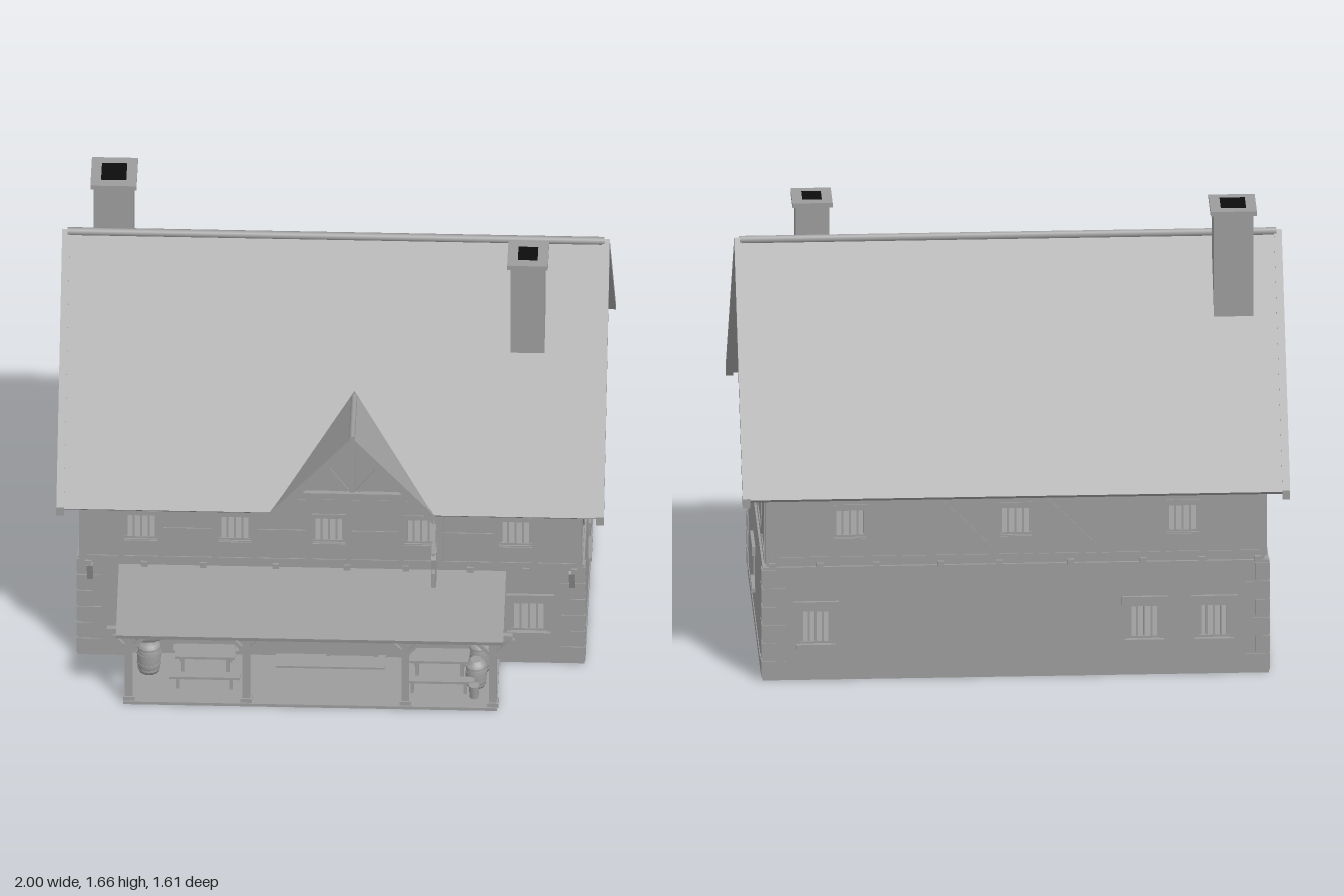
import * as THREE from 'three';

const stone = new THREE.MeshStandardMaterial({ color: 0x9c9c9c });
stone.name = 'plain grey';
const soot = new THREE.MeshStandardMaterial({ color: 0x0c0c0c });
soot.name = 'soot black';

function add(parent, name, geo, x = 0, y = 0, z = 0, mat = stone) {
  const m = new THREE.Mesh(geo, mat);
  m.name = name;
  m.position.set(x, y, z);
  parent.add(m);
  return m;
}
// box given by its limits on each axis
function block(parent, name, x0, x1, y0, y1, z0, z1, mat) {
  return add(parent, name, new THREE.BoxGeometry(x1 - x0, y1 - y0, z1 - z0),
    (x0 + x1) / 2, (y0 + y1) / 2, (z0 + z1) / 2, mat);
}
// square timber between two points
function bar(parent, name, a, b, w = 0.02, d = w) {
  const p = new THREE.Vector3(...a), q = new THREE.Vector3(...b);
  const m = add(parent, name, new THREE.BoxGeometry(w, d, p.distanceTo(q)));
  m.position.copy(p).add(q).multiplyScalar(0.5);
  m.quaternion.setFromRotationMatrix(new THREE.Matrix4().lookAt(q, p, new THREE.Vector3(0, 0, 1)));
  return m;
}
const poly = pts => new THREE.Shape(pts.map(p => new THREE.Vector2(...p)));
const extrude = (shape, depth) => new THREE.ExtrudeGeometry(shape, { depth, bevelEnabled: false, curveSegments: 8 });
// inverted V section, w = half width, h = rise, t = vertical thickness
const chevron = (w, h, t, depth) =>
  extrude(poly([[-w, 0], [-w, -t], [0, h - t], [w, -t], [w, 0], [0, h]]), depth);

// wall in its own plane (outer face at z = 0), pierced by windows [u, y0, y1, width]
function wall(parent, name, outline, windows, masonry) {
  const shape = poly(outline);
  for (const [u, y0, y1, w] of windows) {
    const h = w / 2;
    shape.holes.push(new THREE.Path([[u - h, y0], [u + h, y0], [u + h, y1], [u - h, y1]].map(p => new THREE.Vector2(...p))));
  }
  add(parent, name, extrude(shape, 0.03), 0, 0, -0.03);
  for (const [u, y0, y1, w] of windows) {
    const h = w / 2;
    for (let i = 0; i <= 4; i++) {
      const x = u - h + 0.005 + i * (w - 0.01) / 4, r = i % 4 ? 0.0035 : 0.006;
      block(parent, 'windowBar', x - r, x + r, y0, y1, -0.022, -0.008);
    }
    for (const y of [y0 + 0.004, y1 - 0.004]) block(parent, 'windowRail', u - h, u + h, y - 0.004, y + 0.004, -0.022, -0.006);
    if (masonry) {
      block(parent, 'lintel', u - h - 0.027, u + h + 0.027, y1, y1 + 0.035, -0.02, 0.012);
      block(parent, 'sill', u - h - 0.015, u + h + 0.015, y0 - 0.016, y0, -0.02, 0.012);
    }
  }
}
// thin timber lying on a wall
const timber = (p, x0, y0, x1, y1, w = 0.022) => bar(p, 'timber', [x0, y0, 0], [x1, y1, 0], w, 0.008);

function face(parent, name, x, z, turn) {
  const g = new THREE.Group();
  g.name = name;
  g.position.set(x, 0, z);
  g.rotation.y = turn;
  parent.add(g);
  return g;
}
const rect = (a, b, y0, y1) => [[a, y0], [b, y0], [b, y1], [a, y1]];
function quoins(p, a, b) {
  for (let i = 0; i < 6; i++) {
    const w = i % 2 ? 0.05 : 0.085, y = 0.012 + i * 0.071;
    block(p, 'quoin', a - 0.003, a + w, y, y + 0.062, -0.01, 0.004);
    block(p, 'quoin', b - w, b + 0.003, y, y + 0.062, -0.01, 0.004);
  }
}
function barrel(parent, x, y, z, r, h) {
  const g = new THREE.Group();
  g.name = 'barrel';
  g.position.set(x, y, z);
  const pts = [[0, 0], [r * 0.82, 0], [r * 0.95, h * 0.25], [r, h * 0.5], [r * 0.95, h * 0.75], [r * 0.82, h], [0, h]];
  add(g, 'staves', new THREE.LatheGeometry(pts.map(p => new THREE.Vector2(...p)), 14));
  for (const f of [0.14, 0.34, 0.66, 0.86])
    add(g, 'hoop', new THREE.CylinderGeometry(r * (f > 0.3 && f < 0.7 ? 1.01 : 0.93), r * (f > 0.3 && f < 0.7 ? 1.01 : 0.93), h * 0.06, 14), 0, h * f);
  parent.add(g);
  return g;
}

export function createModel() {
  const model = new THREE.Group();
  model.name = 'timberFramedInn';

  // Ground floor
  block(model, 'groundSlab', -0.92, 0.92, 0, 0.012, -0.732, 0.445);
  const low = (u, w = 0.115) => [u, 0.14, 0.272, w];
  const gf = face(model, 'groundFront', 0, 0.45, 0);
  wall(gf, 'frontWall', rect(-0.925, 0.925, 0, 0.44), [low(-0.55), low(-0.22), low(0.415), low(0.722, 0.13)], true);
  quoins(gf, -0.925, 0.925);
  block(gf, 'door', 0, 0.155, 0.012, 0.312, -0.01, 0.006);
  for (const x of [-0.008, 0.163]) block(gf, 'doorJamb', x - 0.008, x + 0.008, 0, 0.322, -0.01, 0.012);
  block(gf, 'doorHead', -0.016, 0.171, 0.312, 0.326, -0.01, 0.013);
  add(gf, 'doorKnob', new THREE.SphereGeometry(0.006, 8, 6), 0.138, 0.15, 0.01);
  const gb = face(model, 'groundBack', 0, -0.737, Math.PI);
  wall(gb, 'backWall', rect(-0.925, 0.925, 0, 0.44), [low(-0.73), low(0.47), low(0.725)], true);
  quoins(gb, -0.925, 0.925);
  for (const s of [1, -1]) {
    const g = face(model, 'groundSide', s * 0.925, 0, s * Math.PI / 2);
    const e = [-0.445 * s, 0.732 * s].sort((a, b) => a - b);
    wall(g, 'sideWall', rect(e[0], e[1], 0, 0.44), s > 0 ? [low(0.088)] : [], true);
    quoins(g, e[0] - 0.005, e[1] + 0.005);
    block(g, 'plinth', e[0] + 0.06, e[1] - 0.06, 0, 0.036, -0.01, 0.003);
  }

  // Floor between the storeys, joist ends and corner brackets
  block(model, 'upperFloor', -0.91, 0.91, 0.432, 0.462, -0.728, 0.485);
  for (const x of [-0.885, -0.68, -0.465, -0.2, 0.06, 0.275, 0.51, 0.715, 0.89])
    block(model, 'joist', x - 0.012, x + 0.012, 0.436, 0.458, -0.748, 0.506);
  for (const s of [1, -1]) bar(model, 'jettyBracket', [s * 0.88, 0.35, 0.452], [s * 0.88, 0.436, 0.49], 0.022);

  // Upper storey, front and back
  const high = (u, w = 0.12) => [u, 0.552, 0.662, w];
  const rows = [
    ['upperFront', 0.495, 0, [-0.693, -0.35, -0.007, 0.33, 0.675]],
    ['upperBack', -0.733, Math.PI, [-0.605, 0, 0.61]],
  ];
  for (const [name, z, turn, us] of rows) {
    const g = face(model, name, 0, z, turn);
    wall(g, 'upperWall', rect(-0.915, 0.915, 0.455, 0.77), us.map(u => high(u)), false);
    timber(g, -0.915, 0.468, 0.915, 0.468);
    timber(g, -0.915, 0.735, 0.915, 0.735);
    const posts = [-0.903, 0.903];
    for (const u of us) posts.push(u - 0.072, u + 0.072);
    for (const u of posts) timber(g, u, 0.468, u, 0.735);
    for (const u of us) {
      timber(g, u - 0.07, 0.541, u + 0.07, 0.541, 0.014);
      timber(g, u - 0.07, 0.673, u + 0.07, 0.673, 0.014);
    }
    us.slice(1).forEach((u, i) => {
      const a = us[i] + 0.08, b = u - 0.08, m = (a + b) / 2;
      if (b - a < 0.3) timber(g, a, 0.6, b, 0.6, 0.014);
      else {
        timber(g, m, 0.468, m, 0.735);
        timber(g, i ? a : m, 0.72, i ? m : b, 0.49, 0.018);
      }
    });
  }

  // Gable ends
  for (const s of [1, -1]) {
    const g = face(model, 'gableEnd', s * 0.915, 0, s * Math.PI / 2);
    const c = 0.12 * s, win = s > 0 ? 0.112 : 0.11;
    wall(g, 'gableWall', [[c - 0.608, 0.455], [c + 0.608, 0.455], [c + 0.608, 0.77], [c, 1.452], [c - 0.608, 0.77]], [high(win, 0.115)], false);
    for (const y of [0.468, 0.765]) timber(g, c - 0.61, y, c + 0.61, y);
    for (const u of [c - 0.6, c + 0.6, win - 0.07, win + 0.07, c - 0.34, c + 0.34]) timber(g, u, 0.468, u, 0.765);
    timber(g, c, 0.765, c, 1.43);
    for (const k of [1, -1]) {
      timber(g, c, 0.79, c + k * 0.3, 1.07);
      timber(g, c, 1.3, c + k * 0.24, 1.1, 0.018);
      timber(g, c + k * 0.59, 0.76, c + k * 0.36, 0.48, 0.018);
      timber(g, c + k * 0.6, 0.768, c, 1.438);
    }
  }

  // Main roof: front slope notched for the small gable, back slope whole
  const run = 0.68, rise = 0.76, len = Math.hypot(run, rise);
  const slopes = [
    [[-0.985, 0], [-0.22, 0], [0.08, 0.435], [0.378, 0], [0.985, 0], [0.985, len], [-0.985, len]],
    rect(-0.985, 0.985, 0, len),
  ];
  slopes.forEach((pts, i) => {
    const g = face(model, 'roofSlope', 0, -0.12, i * Math.PI);
    add(g, 'roofSheet', extrude(poly(pts), 0.02), 0, 0.73 - 0.02 * rise / len, run - 0.02 * run / len)
      .rotation.x = -Math.atan2(run, rise);
  });
  for (const x of [-1, 0.972])
    add(model, 'bargeBoard', chevron(0.682, 0.762, 0.036, 0.028), x, 0.734, -0.12).rotation.y = Math.PI / 2;
  add(model, 'ridgeCap', new THREE.CylinderGeometry(0.015, 0.015, 1.96, 8), 0, 1.488, -0.12).rotation.z = Math.PI / 2;

  // Small front gable
  const fg = face(model, 'frontGable', 0.08, 0, 0);
  add(fg, 'gableRoof', chevron(0.296, 0.336, 0.022, 0.3), 0, 0.73, 0.26);
  add(fg, 'gableVerge', chevron(0.298, 0.338, 0.045, 0.014), 0, 0.731, 0.548);
  add(fg, 'gableRidge', new THREE.CylinderGeometry(0.011, 0.011, 0.27, 8), 0, 1.065, 0.427).rotation.x = Math.PI / 2;
  add(fg, 'gablePanel', extrude(poly([[-0.262, 0.735], [0.262, 0.735], [0, 1.035]]), 0.03), 0, 0, 0.468);
  bar(fg, 'gableTie', [-0.24, 0.775, 0.505], [0.24, 0.775, 0.505], 0.022);
  bar(fg, 'gableKingPost', [0, 0.775, 0.5], [0, 1.02, 0.5], 0.02, 0.012);
  for (const k of [1, -1]) bar(fg, 'gableBrace', [k * 0.02, 0.79, 0.499], [k * 0.1, 0.9, 0.499], 0.016, 0.01);

  // Chimneys: centre x, centre z, half sizes, bottom, top
  for (const [x, z, hx, hz, y0, y1] of [[-0.815, -0.264, 0.072, 0.078, 1.1, 1.655], [0.708, 0.092, 0.062, 0.067, 1.0, 1.575]]) {
    const g = face(model, 'chimney', x, z, 0);
    block(g, 'shaft', -hx, hx, y0, y1 - 0.015, -hz, hz);
    block(g, 'cap', -hx - 0.012, hx + 0.012, y1 - 0.018, y1, -hz - 0.012, hz + 0.012);
    block(g, 'flue', -hx + 0.026, hx - 0.026, y1 - 0.002, y1 + 0.002, -hz + 0.026, hz - 0.026, soot);
  }

  // Porch
  const porch = face(model, 'porch', 0, 0, 0);
  block(porch, 'porchFloor', -0.75, 0.615, 0, 0.012, 0.44, 0.76);
  block(porch, 'doorStep', -0.2, 0.2, 0.01, 0.02, 0.45, 0.53);
  const roof = block(porch, 'porchRoof', -0.775, 0.64, 0.366, 0.382, 0.45, 0.81);
  roof.rotation.x = Math.atan2(0.085, 0.35);
  block(porch, 'frontBeam', -0.81, 0.672, 0.302, 0.324, 0.722, 0.744);
  block(porch, 'wallBeam', -0.77, 0.635, 0.385, 0.408, 0.45, 0.47);
  for (const x of [-0.73, -0.3, 0.28, 0.6]) {
    block(porch, 'post', x - 0.014, x + 0.014, 0.01, 0.305, 0.719, 0.747);
    block(porch, 'postFoot', x - 0.021, x + 0.021, 0.01, 0.028, 0.712, 0.754);
    bar(porch, 'rafter', [x, 0.318, 0.78], [x, 0.396, 0.46], 0.018);
    for (const k of [1, -1]) bar(porch, 'postBrace', [x, 0.225, 0.733], [x + k * 0.075, 0.305, 0.733], 0.014);
  }

  // Tables and benches
  for (const x of [-0.455, 0.4]) {
    const set = face(porch, 'tableSet', x, 0.575, 0);
    for (const [z, y, hw, hl] of [[0, 0.115, 0.042, 0.11], [0.085, 0.068, 0.018, 0.13], [-0.085, 0.068, 0.018, 0.12]]) {
      block(set, 'plank', -hl, hl, y - 0.01, y, z - hw, z + hw);
      for (const k of [1, -1]) block(set, 'trestle', k * hl * 0.75 - 0.006, k * hl * 0.75 + 0.006, 0.01, y - 0.01, z - hw * 0.7, z + hw * 0.7);
    }
  }

  // Barrels and buckets
  barrel(porch, 0.545, 0.01, 0.512, 0.042, 0.122);
  barrel(porch, 0.535, 0.01, 0.61, 0.04, 0.1);
  add(porch, 'tapLid', new THREE.CylinderGeometry(0.022, 0.034, 0.014, 12), 0.535, 0.117, 0.61);
  add(porch, 'bucket', new THREE.CylinderGeometry(0.02, 0.016, 0.055, 12), 0.53, 0.037, 0.69);
  barrel(porch, -0.662, 0.01, 0.555, 0.045, 0.125);
  const keg = barrel(porch, -0.71, 0.17, 0.555, 0.036, 0.095);
  keg.rotation.z = -Math.PI / 2 + 0.12;

  // Hanging lantern
  const lamp = face(porch, 'lantern', 0.22, 0.51, 0);
  bar(lamp, 'hook', [0, 0.35, 0], [0, 0.4, 0], 0.004);
  add(lamp, 'lanternBody', new THREE.CylinderGeometry(0.012, 0.01, 0.04, 6), 0, 0.32, 0);
  add(lamp, 'lanternHood', new THREE.ConeGeometry(0.017, 0.014, 6), 0, 0.346, 0);

  // Hanging tankard on its bracket
  const sign = face(model, 'hangingTankard', 0.38, 0, 0);
  block(sign, 'bracketArm', -0.005, 0.005, 0.632, 0.641, 0.49, 0.68);
  add(sign, 'bracketScroll', new THREE.TorusGeometry(0.018, 0.003, 6, 14), 0, 0.61, 0.53).rotation.y = Math.PI / 2;
  for (const z of [0.575, 0.635]) bar(sign, 'chain', [0, 0.595, z], [0, 0.635, z], 0.004);
  const cup = poly([[-0.64, 0.465], [-0.567, 0.465], [-0.556, 0.592], [-0.58, 0.6], [-0.605, 0.592], [-0.63, 0.6], [-0.652, 0.592]]);
  add(sign, 'tankard', extrude(cup, 0.018), -0.009, 0, 0).rotation.y = Math.PI / 2;
  block(sign, 'tankardHandle', -0.006, 0.006, 0.485, 0.548, 0.666, 0.676);
  for (const y of [0.489, 0.544]) block(sign, 'handleArm', -0.006, 0.006, y - 0.004, y + 0.004, 0.64, 0.674);

  return model;
}
